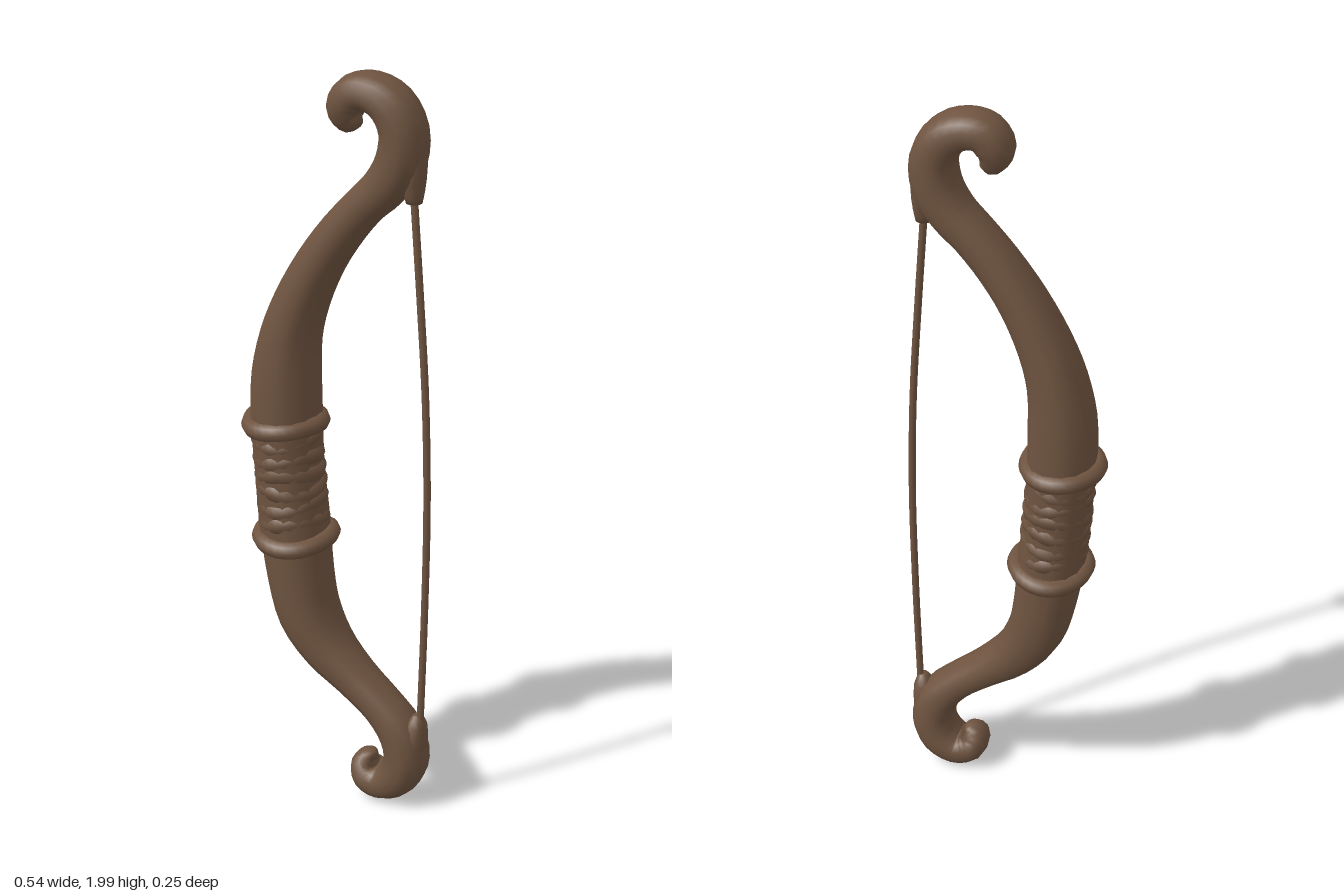
import * as THREE from 'three';

const SIDES = 14;

// Sweeps a rounded section along a path in the xy plane.
// Each row: x, y, half width in the plane, half depth in z.
function sweep(rows, perRow) {
  const path = new THREE.CatmullRomCurve3(rows.map(r => new THREE.Vector3(r[0], r[1], 0)));
  const size = new THREE.CatmullRomCurve3(rows.map((r, i) => new THREE.Vector3(r[2], r[3], i * 0.1)));
  const steps = (rows.length - 1) * perRow;
  const pos = [], index = [];
  const soft = v => Math.sign(v) * Math.abs(v) ** 0.88;
  for (let i = 0; i <= steps; i++) {
    const c = path.getPoint(i / steps), t = path.getTangent(i / steps), s = size.getPoint(i / steps);
    for (let j = 0; j < SIDES; j++) {
      const a = j / SIDES * Math.PI * 2;
      const u = soft(Math.cos(a)) * s.x, v = soft(Math.sin(a)) * s.y;
      pos.push(c.x - t.y * u, c.y + t.x * u, v);
    }
  }
  for (let i = 0; i < steps; i++) {
    for (let j = 0; j < SIDES; j++) {
      const a = i * SIDES + j, b = i * SIDES + (j + 1) % SIDES;
      index.push(a, b, a + SIDES, b, b + SIDES, a + SIDES);
    }
  }
  // End caps
  const n = pos.length / 3, first = rows[0], last = rows[rows.length - 1];
  pos.push(first[0], first[1], 0, last[0], last[1], 0);
  for (let j = 0; j < SIDES; j++) {
    const k = (j + 1) % SIDES;
    index.push(n, k, j, n + 1, steps * SIDES + j, steps * SIDES + k);
  }
  const geo = new THREE.BufferGeometry();
  geo.setAttribute('position', new THREE.Float32BufferAttribute(pos, 3));
  geo.setIndex(index);
  geo.computeVertexNormals();
  return geo;
}

// Closed, slightly uneven loop of cord around the grip
function loop(rx, rz, thick, wave, phase) {
  const pts = [];
  for (let i = 0; i < 16; i++) {
    const a = i / 16 * Math.PI * 2;
    pts.push(new THREE.Vector3(Math.cos(a) * rx, Math.sin(a * 2 + phase) * wave, Math.sin(a) * rz));
  }
  return new THREE.TubeGeometry(new THREE.CatmullRomCurve3(pts, true), 32, thick, 8, true);
}

export function createModel() {
  const bow = new THREE.Group();
  bow.name = 'bow';
  const wood = new THREE.MeshStandardMaterial({ name: 'brown wood', color: 0x6f5440 });
  const add = (name, geo, x = 0, y = 0, tilt = 0) => {
    const mesh = new THREE.Mesh(geo, wood);
    mesh.name = name;
    mesh.position.set(x, y, 0);
    mesh.rotation.z = tilt;
    bow.add(mesh);
    return mesh;
  };

  // Curved stave with a curled hook at each end
  add('stave', sweep([
    [0.055, 1.862, 0.012, 0.02],
    [0.035, 1.872, 0.035, 0.045],
    [0.022, 1.905, 0.047, 0.06],
    [0.045, 1.943, 0.048, 0.065],
    [0.09, 1.951, 0.048, 0.068],
    [0.145, 1.925, 0.054, 0.07],
    [0.178, 1.865, 0.058, 0.07],
    [0.172, 1.79, 0.06, 0.07],
    [0.135, 1.725, 0.057, 0.07],
    [0.08, 1.67, 0.053, 0.07],
    [0.015, 1.595, 0.055, 0.072],
    [-0.05, 1.5, 0.059, 0.077],
    [-0.105, 1.39, 0.066, 0.085],
    [-0.138, 1.29, 0.074, 0.093],
    [-0.153, 1.18, 0.085, 0.1],
    [-0.154, 1.05, 0.088, 0.103],
    [-0.147, 0.92, 0.086, 0.1],
    [-0.132, 0.76, 0.089, 0.1],
    [-0.115, 0.62, 0.083, 0.098],
    [-0.088, 0.51, 0.077, 0.094],
    [-0.03, 0.42, 0.063, 0.083],
    [0.055, 0.345, 0.05, 0.069],
    [0.135, 0.28, 0.048, 0.065],
    [0.19, 0.215, 0.056, 0.068],
    [0.207, 0.145, 0.058, 0.07],
    [0.185, 0.085, 0.056, 0.07],
    [0.138, 0.056, 0.047, 0.067],
    [0.098, 0.068, 0.045, 0.062],
    [0.087, 0.1, 0.037, 0.05],
    [0.105, 0.118, 0.022, 0.03],
    [0.115, 0.118, 0.008, 0.01],
  ], 3));

  // Tapered nocks that hold the string
  add('upperNock', sweep([
    [0.2, 1.85, 0.03, 0.04], [0.207, 1.78, 0.03, 0.04], [0.208, 1.72, 0.025, 0.03], [0.208, 1.688, 0.02, 0.02],
  ], 2));
  add('lowerNock', sweep([
    [0.222, 0.13, 0.035, 0.05], [0.23, 0.2, 0.033, 0.045], [0.236, 0.25, 0.026, 0.033], [0.238, 0.278, 0.012, 0.014],
  ], 2));

  // Bowstring, bent slightly outward
  const stringPath = new THREE.CatmullRomCurve3([
    [0.208, 1.7], [0.228, 1.45], [0.247, 1.18], [0.256, 0.9], [0.254, 0.6], [0.246, 0.26],
  ].map(p => new THREE.Vector3(p[0], p[1], 0)));
  add('bowstring', new THREE.TubeGeometry(stringPath, 24, 0.01, 8));

  // Flattened leather wraps on the grip
  for (let i = 0; i < 6; i++) {
    const y = 0.785 + i * 0.044;
    const x = -0.134 - (y - 0.785) * 0.085;
    const wrap = add('gripWrap', loop(0.07, 0.083, 0.022, 0.006, i * 1.7), x, y, 0.06 + (i % 2 ? 0.05 : -0.04));
    wrap.scale.y = 1.25;
  }

  // Raised bindings above and below the grip
  add('upperBinding', loop(0.09, 0.1, 0.024, 0.004, 0.5), -0.157, 1.048, 0.02);
  add('lowerBinding', loop(0.092, 0.1, 0.024, 0.006, 2), -0.128, 0.728, 0.03);

  return bow;
}
